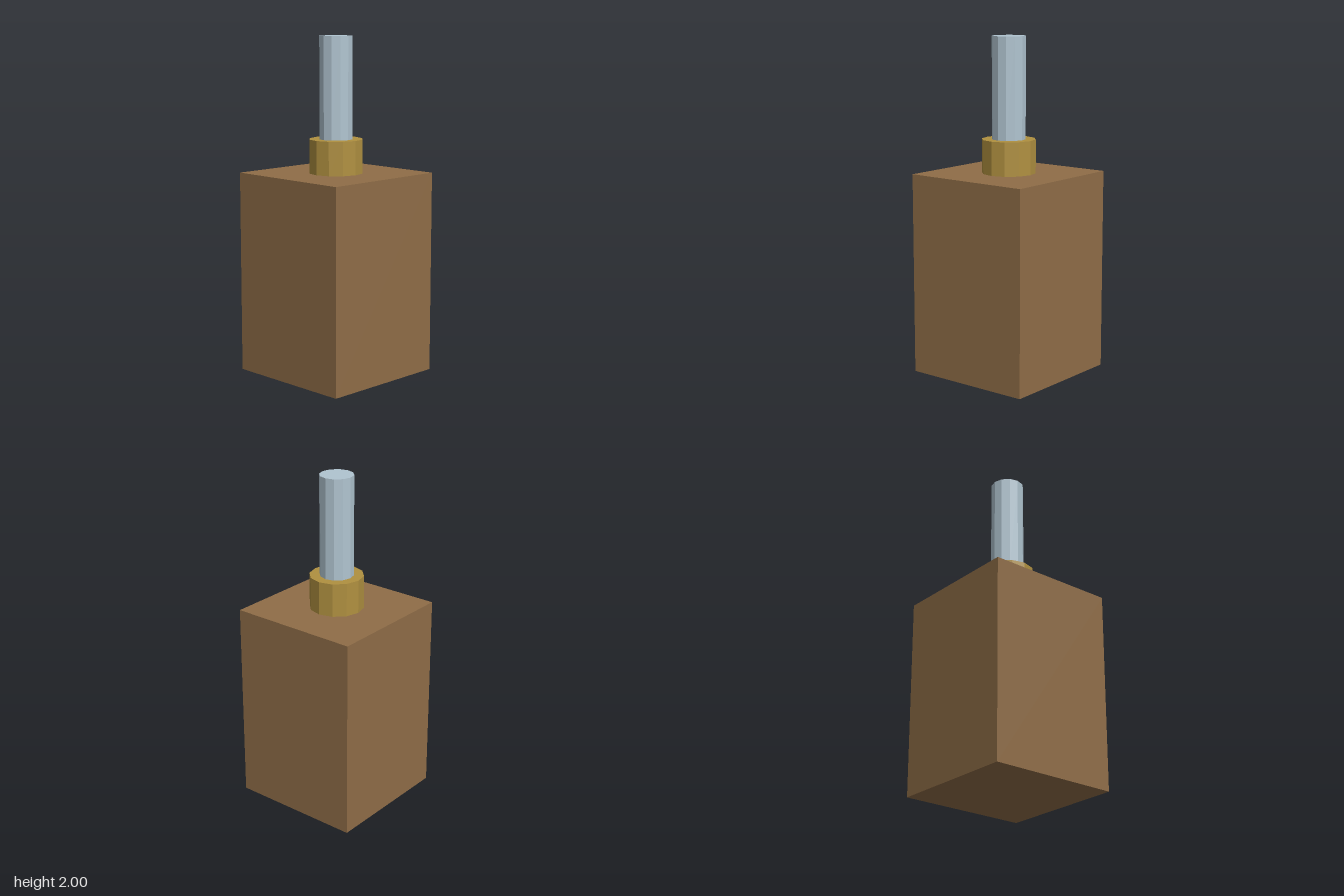
import * as THREE from 'three';

export function createModel() {
  const model = new THREE.Group();
  model.name = 'blockWithShaft';

  const flat = (name, color) => {
    const material = new THREE.MeshStandardMaterial({ color, flatShading: true });
    material.name = name;
    return material;
  };
  const wood = flat('woodBrown', 0x8f6d47);
  const brass = flat('brass', 0xb09040);
  const steel = flat('paleSteel', 0xb0c4d0);

  // Places a part so that its underside sits at the given height
  const add = (name, geometry, material, bottom, height) => {
    const mesh = new THREE.Mesh(geometry, material);
    mesh.name = name;
    mesh.position.y = bottom + height / 2;
    model.add(mesh);
  };

  // Square body
  add('body', new THREE.BoxGeometry(0.8, 1.2, 0.8), wood, 0, 1.2);
  // Twelve-sided collar on the body
  add('collar', new THREE.CylinderGeometry(0.16, 0.16, 0.2, 12), brass, 1.2, 0.2);
  // Twelve-sided shaft rising from the collar
  add('shaft', new THREE.CylinderGeometry(0.1, 0.1, 0.6, 12), steel, 1.4, 0.6);

  return model;
}
